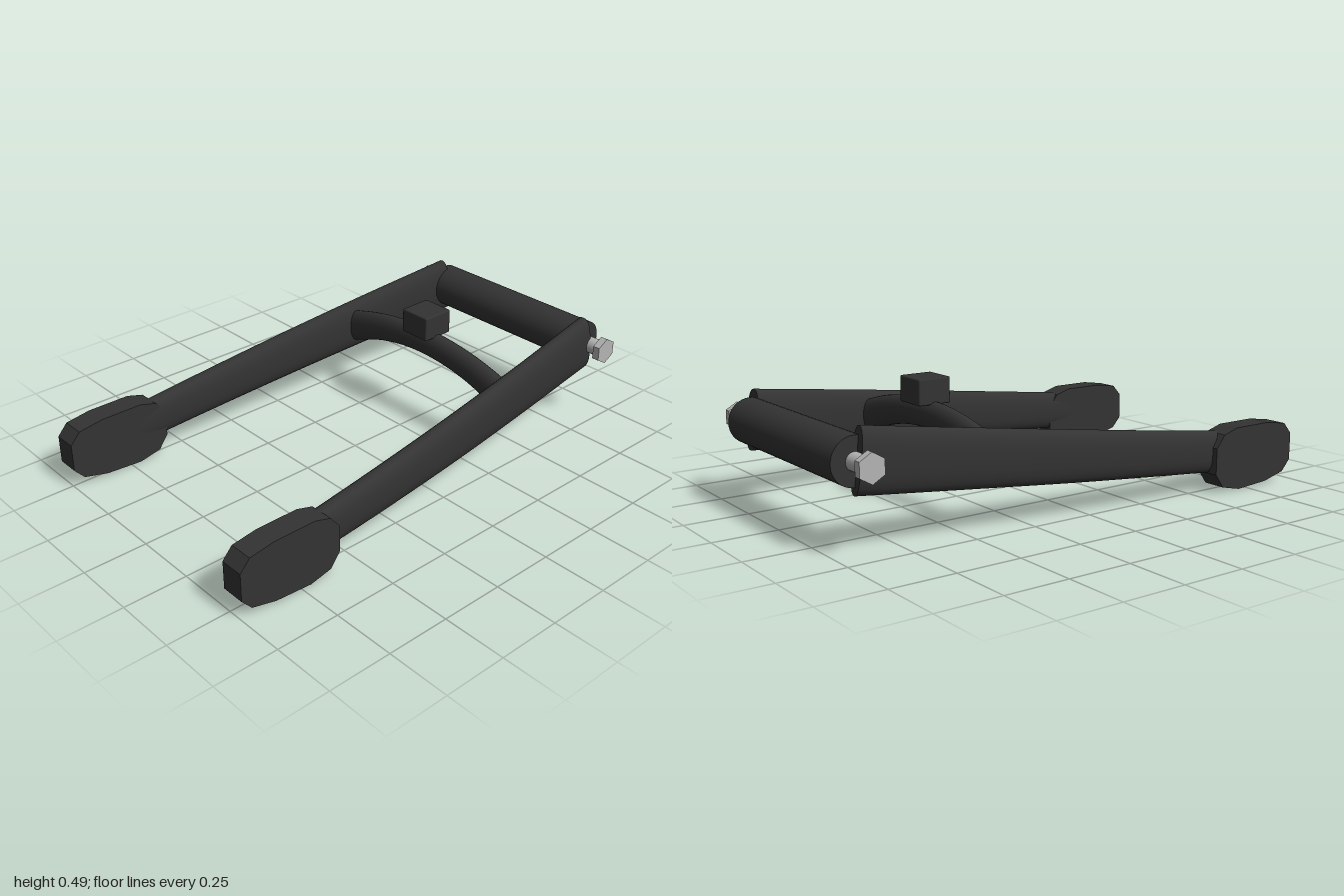
import * as THREE from 'three';
import { RoundedBoxGeometry } from 'three/addons/geometries/RoundedBoxGeometry.js';

const SIDES = 24;

// Sweeps a rounded section along stations of [x, y, z, halfWidth, halfHeight], with end caps.
function loft(stations, steps, power) {
  const path = new THREE.CatmullRomCurve3(stations.map(s => new THREE.Vector3(s[0], s[1], s[2])));
  const size = new THREE.CatmullRomCurve3(stations.map(s => new THREE.Vector3(s[3], s[4], 0)));
  const pos = [], index = [];
  const round = v => Math.sign(v) * Math.abs(v) ** (2 / power);
  const rings = [];
  for (let i = 0; i <= steps; i++) {
    const c = path.getPoint(i / steps), t = path.getTangent(i / steps), s = size.getPoint(i / steps);
    const side = new THREE.Vector3().crossVectors(t, new THREE.Vector3(0, 1, 0)).normalize();
    const up = new THREE.Vector3().crossVectors(side, t);
    const ring = [];
    for (let j = 0; j < SIDES; j++) {
      const a = j / SIDES * Math.PI * 2;
      ring.push(c.clone().addScaledVector(side, s.x * round(Math.cos(a)))
        .addScaledVector(up, s.y * round(Math.sin(a))));
    }
    rings.push({ c, ring });
    ring.forEach(p => pos.push(p.x, p.y, p.z));
  }
  for (let i = 0; i < steps; i++) {
    for (let j = 0; j < SIDES; j++) {
      const a = i * SIDES + j, b = i * SIDES + (j + 1) % SIDES;
      index.push(a, a + SIDES, b, b, a + SIDES, b + SIDES);
    }
  }
  // caps have their own vertices so their rims stay sharp
  [rings[0], rings[steps]].forEach(({ c, ring }, end) => {
    const base = pos.length / 3;
    [c, ...ring].forEach(p => pos.push(p.x, p.y, p.z));
    for (let j = 0; j < SIDES; j++) {
      const a = base + 1 + j, b = base + 1 + (j + 1) % SIDES;
      if (end) index.push(base, b, a); else index.push(base, a, b);
    }
  });
  const g = new THREE.BufferGeometry();
  g.setAttribute('position', new THREE.Float32BufferAttribute(pos, 3));
  g.setIndex(index);
  g.computeVertexNormals();
  return g;
}

export function createModel() {
  const model = new THREE.Group();
  model.name = 'swingarm';
  const black = new THREE.MeshStandardMaterial({ name: 'black paint', color: 0x333333 });
  const steel = new THREE.MeshStandardMaterial({ name: 'bolt steel', color: 0xb4b4b4 });

  const add = (name, geometry, material, x = 0, y = 0, z = 0) => {
    const m = new THREE.Mesh(geometry, material);
    m.name = name;
    m.position.set(x, y, z);
    model.add(m);
    return m;
  };
  const rod = (r, length, sides) => new THREE.CylinderGeometry(r, r, length, sides).rotateX(Math.PI / 2);

  // Outline of the axle plates
  const plateShape = new THREE.Shape([
    [-1, 0.08], [-0.96, 0.035], [-0.86, 0.01], [-0.71, 0], [-0.62, 0.02], [-0.58, 0.075],
    [-0.58, 0.18], [-0.62, 0.23], [-0.69, 0.25], [-0.86, 0.25], [-0.96, 0.235], [-1, 0.19],
  ].map(p => new THREE.Vector2(...p)));
  const plate = new THREE.ExtrudeGeometry(plateShape, { depth: 0.094, bevelEnabled: false });
  plate.translate(0, 0, -0.047);

  const pivotX = 0.911, pivotY = 0.314;
  for (const s of [1, -1]) {
    const label = s > 0 ? 'front' : 'back';
    // Tapered arm bowing inward toward the pivot
    add(label + 'Arm', loft([
      [-0.74, 0.142, s * 0.514, 0.038, 0.079],
      [-0.35, 0.182, s * 0.5, 0.04, 0.088],
      [0.05, 0.224, s * 0.478, 0.04, 0.098],
      [0.45, 0.267, s * 0.446, 0.04, 0.107],
      [0.903, 0.315, s * 0.4, 0.04, 0.118],
    ], 20, 2.5), black);
    add(label + 'AxlePlate', plate, black, 0, 0, s * 0.522);
    // Hexagonal bolt head
    add(label + 'BoltHead', rod(0.054, 0.03, 6).toNonIndexed(), steel, pivotX, pivotY, s * 0.501)
      .geometry.computeVertexNormals();
  }

  // Pivot tube with its bolt
  add('pivotTube', rod(0.088, 0.8, 40), black, pivotX, pivotY, 0);
  add('pivotBolt', rod(0.033, 1, 24), steel, pivotX, pivotY, 0);

  // Arched crossbar between the arms
  const bar = [-0.44, -0.28, -0.14, 0, 0.14, 0.28, 0.44].map(z => {
    const k = (z / 0.44) ** 2;
    return [0.385, 0.345 - 0.085 * k, z, 0.038, 0.055 + 0.012 * k];
  });
  add('crossbar', loft(bar, 20, 2), black);

  // Mounting block on the crossbar
  add('mountBlock', new RoundedBoxGeometry(0.136, 0.1, 0.136, 2, 0.006), black, 0.387, 0.437, 0);

  return model;
}
